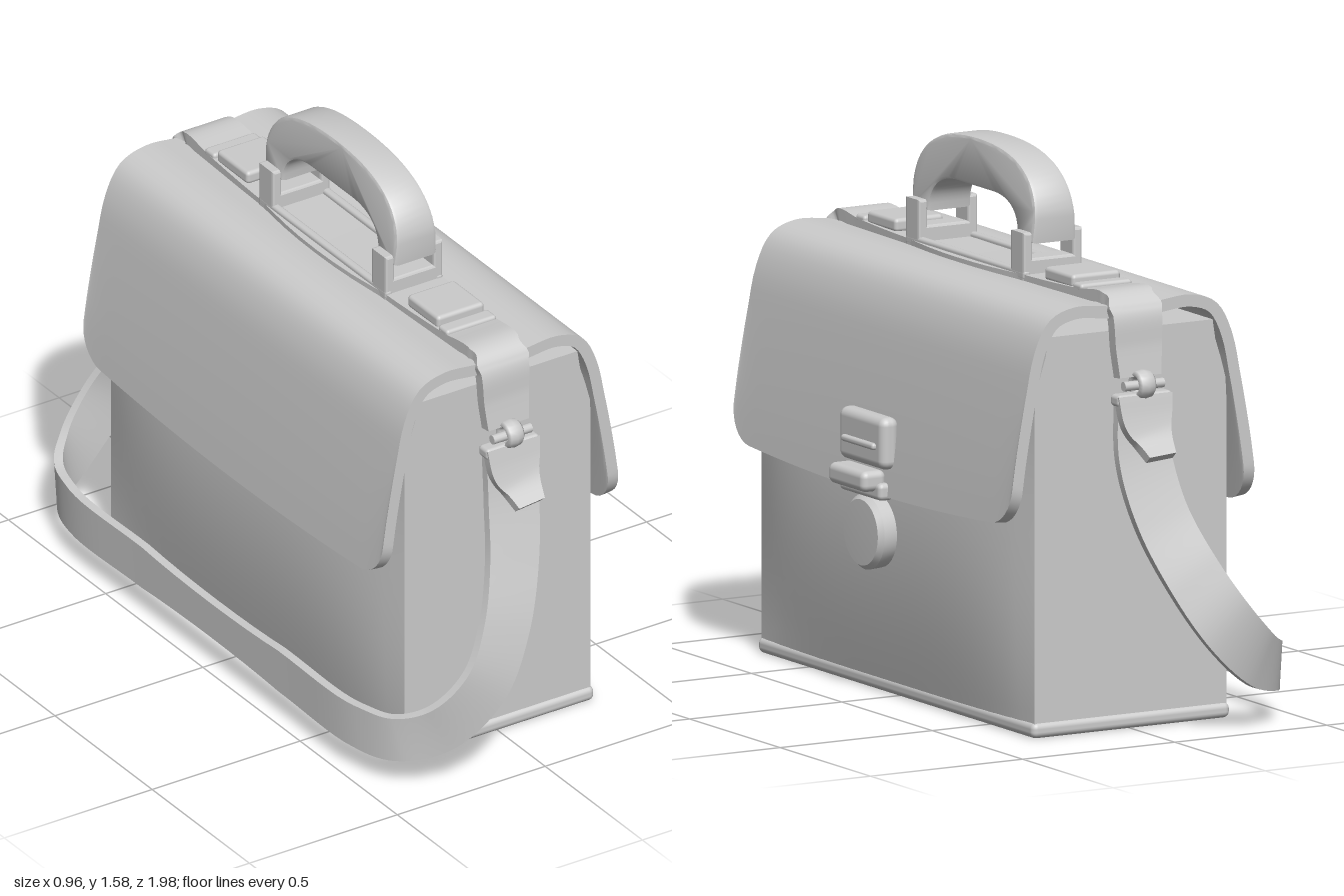
import * as THREE from 'three';
import { toCreasedNormals } from 'three/addons/utils/BufferGeometryUtils.js';
import { RoundedBoxGeometry } from 'three/addons/geometries/RoundedBoxGeometry.js';

const material = new THREE.MeshStandardMaterial({ color: 0xcccccc });

function add(group, name, geometry, x = 0, y = 0, z = 0) {
  const mesh = new THREE.Mesh(geometry, material);
  mesh.name = name;
  mesh.position.set(x, y, z);
  group.add(mesh);
  return mesh;
}

function deform(geometry, rule) {
  const p = geometry.attributes.position;
  const v = new THREE.Vector3();
  for (let i = 0; i < p.count; i++) {
    rule(v.fromBufferAttribute(p, i));
    p.setXYZ(i, v.x, v.y, v.z);
  }
  geometry.computeVertexNormals();
  return geometry;
}

// Flat band along points [x, y, z, halfWidth, turn]; turn swings the width from x (0) to -y (PI/2)
function band(points, thickness, steps) {
  const path = new THREE.CatmullRomCurve3(points.map(p => new THREE.Vector3(p[0], p[1], p[2])));
  const extra = new THREE.CatmullRomCurve3(points.map(p => new THREE.Vector3(p[3], p[4] || 0, 0)));
  const positions = [], index = [];
  for (let i = 0; i <= steps; i++) {
    const c = path.getPoint(i / steps), t = path.getTangent(i / steps);
    const e = extra.getPoint(i / steps);
    const w = new THREE.Vector3(Math.cos(e.y), -Math.sin(e.y), 0);
    w.addScaledVector(t, -w.dot(t)).normalize();
    const n = new THREE.Vector3().crossVectors(t, w);
    for (const [a, b] of [[1, 1], [-1, 1], [-1, -1], [1, -1]]) {
      const q = c.clone().addScaledVector(w, a * e.x).addScaledVector(n, b * thickness / 2);
      positions.push(q.x, q.y, q.z);
    }
    if (i < steps) for (let j = 0; j < 4; j++) {
      const a = i * 4 + j, b = i * 4 + (j + 1) % 4;
      index.push(a, b, b + 4, a, b + 4, a + 4);
    }
  }
  const k = steps * 4;
  index.push(0, 2, 1, 0, 3, 2, k, k + 1, k + 2, k, k + 2, k + 3);
  const g = new THREE.BufferGeometry();
  g.setAttribute('position', new THREE.Float32BufferAttribute(positions, 3));
  g.setIndex(index);
  return toCreasedNormals(g, 0.7);
}

const mirrorZ = half => [...half, ...half.slice().reverse().map(([x, y, z, ...r]) => [x, y, -z, ...r])];

function bodyGeometry() {
  // Box with softly bulging broad sides and a narrowed top
  return deform(new THREE.BoxGeometry(2, 1.13, 1.51, 2, 20, 20), v => {
    v.y += 0.585;
    const bulge = 0.055 * Math.sin(Math.PI * Math.min(v.y, 1)) * (1 - Math.pow(Math.abs(v.z) / 0.755, 4));
    const taper = 0.045 * THREE.MathUtils.smoothstep(v.y, 0.95, 1.15);
    v.x *= 0.315 + bulge - taper;
  });
}

function flapGeometry() {
  // Thick sheet draped over the top and down both broad sides
  const half = [[0.41, 0.6], [0.39, 0.75], [0.355, 0.97], [0.325, 1.11], [0.275, 1.2], [0.19, 1.232], [0.09, 1.225]];
  const pts = [...half.map(([x, y]) => [-x, y]), [0, 1.215], ...half.slice().reverse()];
  const curve = new THREE.SplineCurve(pts.map(p => new THREE.Vector2(...p)));
  const outer = [], inner = [];
  for (let i = 0; i <= 56; i++) {
    const p = curve.getPoint(i / 56), t = curve.getTangent(i / 56);
    outer.push(p);
    inner.push(new THREE.Vector2(p.x + t.y * 0.035, p.y - t.x * 0.035));
  }
  const shape = new THREE.Shape([...outer, ...inner.reverse()]);
  const g = new THREE.ExtrudeGeometry(shape, { depth: 2, steps: 48, bevelEnabled: false });
  deform(g, v => {
    v.z = 0.77 * Math.sin((v.z - 1) * Math.PI / 2);
    // Curved lower edge with rounded corners
    const a = Math.min(0.1, Math.max(0, Math.abs(v.z) - 0.67));
    const bottom = 0.595 + 0.03 * (v.z / 0.77) ** 2 + 0.1 - Math.sqrt(0.01 - a * a);
    if (v.y < 1) {
      const s = (1 - v.y) / 0.4;
      v.x -= Math.sign(v.x) * 0.1 * s * (bottom - 0.6);
      v.y = 1 - s * (1 - bottom);
    }
  });
  return toCreasedNormals(g, 0.6);
}

function handleGeometry() {
  const s = new THREE.Shape();
  s.moveTo(-0.325, 1.34);
  s.lineTo(-0.33, 1.4);
  s.bezierCurveTo(-0.32, 1.52, -0.2, 1.57, 0, 1.57);
  s.bezierCurveTo(0.2, 1.57, 0.32, 1.52, 0.33, 1.4);
  s.lineTo(0.325, 1.34);
  s.lineTo(0.255, 1.34);
  s.bezierCurveTo(0.25, 1.42, 0.18, 1.45, 0.1, 1.45);
  s.lineTo(-0.1, 1.45);
  s.bezierCurveTo(-0.18, 1.45, -0.25, 1.42, -0.255, 1.34);
  const g = new THREE.ExtrudeGeometry(s, {
    depth: 0.1, curveSegments: 16, bevelSize: 0.01, bevelThickness: 0.012, bevelSegments: 2,
  });
  g.translate(0, 0, -0.05);
  g.rotateY(-Math.PI / 2);
  deform(g, v => { v.x *= 1.18 - 0.3 * (v.y - 1.34) / 0.24; });
  return toCreasedNormals(g, 0.6);
}

function frameGeometry() {
  // Rectangular loop that holds one end of the handle
  const rect = (C, x, y0, y1) => new C([[-x, y0], [x, y0], [x, y1], [-x, y1]].map(p => new THREE.Vector2(...p)));
  const s = rect(THREE.Shape, 0.09, 1.215, 1.355);
  s.holes.push(rect(THREE.Path, 0.073, 1.28, 1.34));
  const g = new THREE.ExtrudeGeometry(s, { depth: 0.06, bevelSize: 0.007, bevelThickness: 0.008, bevelSegments: 2 });
  return g.translate(0, 0, -0.03);
}

export function createModel() {
  const model = new THREE.Group();
  model.name = 'satchel';

  add(model, 'body', bodyGeometry());
  add(model, 'basePlate', new RoundedBoxGeometry(0.65, 0.045, 1.53, 3, 0.018), 0, 0.0225, 0);
  add(model, 'flap', flapGeometry());

  // Band running over the top and down both ends
  add(model, 'topBand', band(mirrorZ([
    [0, 1.02, 0.795, 0.068], [0, 1.1, 0.785, 0.075], [0, 1.2, 0.775, 0.08],
    [0, 1.24, 0.735, 0.08], [0, 1.232, 0.6, 0.085], [0, 1.225, 0.3, 0.095],
  ]), 0.035, 80));

  // Carrying handle
  add(model, 'handle', handleGeometry());
  for (const side of [1, -1]) {
    add(model, 'handleFrame', frameGeometry(), 0, 0, side * 0.29);
    add(model, 'topRail', new RoundedBoxGeometry(0.025, 0.03, 0.66, 2, 0.01), side * 0.085, 1.24, 0);
    add(model, 'topBuckle', new RoundedBoxGeometry(0.16, 0.04, 0.16, 2, 0.012), 0, 1.26, side * 0.49);
    add(model, 'buckleFoot', new RoundedBoxGeometry(0.17, 0.025, 0.05, 2, 0.01), 0, 1.25, side * 0.6);

    // Ring, pin and tongue joining the strap to the end of the bag
    const end = new THREE.Group();
    end.name = 'strapFastening';
    const ring = add(end, 'ring', new THREE.TorusGeometry(0.03, 0.013, 8, 20), 0, 1.0, 0.82);
    ring.rotation.y = Math.PI / 2;
    ring.scale.z = 2.2;
    const pin = add(end, 'pin', new THREE.CylinderGeometry(0.014, 0.014, 0.13, 12), 0, 1.0, 0.825);
    pin.rotation.z = Math.PI / 2;
    add(end, 'clip', new RoundedBoxGeometry(0.18, 0.035, 0.05, 2, 0.012), 0, 0.96, 0.815);
    add(end, 'tongue', band([
      [0, 0.97, 0.825, 0.088], [0, 0.9, 0.84, 0.08], [0.01, 0.845, 0.86, 0.06], [0.015, 0.8, 0.9, 0.045],
    ], 0.028, 14));
    if (side < 0) end.rotation.y = Math.PI;
    model.add(end);
  }

  // Shoulder strap hanging from both ends and looping round the back
  add(model, 'shoulderStrap', band(mirrorZ([
    [0, 0.95, 0.8, 0.075, 0], [0, 0.79, 0.825, 0.085, 0.1], [-0.03, 0.62, 0.875, 0.085, 0.25],
    [-0.1, 0.45, 0.94, 0.085, 0.5], [-0.19, 0.31, 0.975, 0.085, 0.8], [-0.31, 0.2, 0.945, 0.08, 1.2],
    [-0.41, 0.16, 0.87, 0.07, 1.5], [-0.458, 0.15, 0.73, 0.068, 1.57], [-0.464, 0.15, 0.35, 0.066, 1.57],
  ]), 0.026, 136));

  // Front clasp with round tab
  add(model, 'claspPlate', new RoundedBoxGeometry(0.06, 0.15, 0.25, 3, 0.025), 0.405, 0.75, 0.01);
  add(model, 'claspBar', new RoundedBoxGeometry(0.03, 0.02, 0.18, 2, 0.009), 0.432, 0.74, 0.01);
  add(model, 'claspLatch', new RoundedBoxGeometry(0.08, 0.06, 0.2, 3, 0.02), 0.438, 0.64, 0.02);
  add(model, 'claspBase', new RoundedBoxGeometry(0.05, 0.05, 0.23, 2, 0.015), 0.41, 0.61, 0.015);
  const tabProfile = [[0, -0.03], [0.105, -0.03], [0.108, 0.012], [0.095, 0.027], [0, 0.03]];
  const tab = toCreasedNormals(new THREE.LatheGeometry(tabProfile.map(p => new THREE.Vector2(...p)), 32), 0.6);
  add(model, 'claspTab', tab, 0.405, 0.48, 0.01).rotation.z = -Math.PI / 2;

  return model;
}
